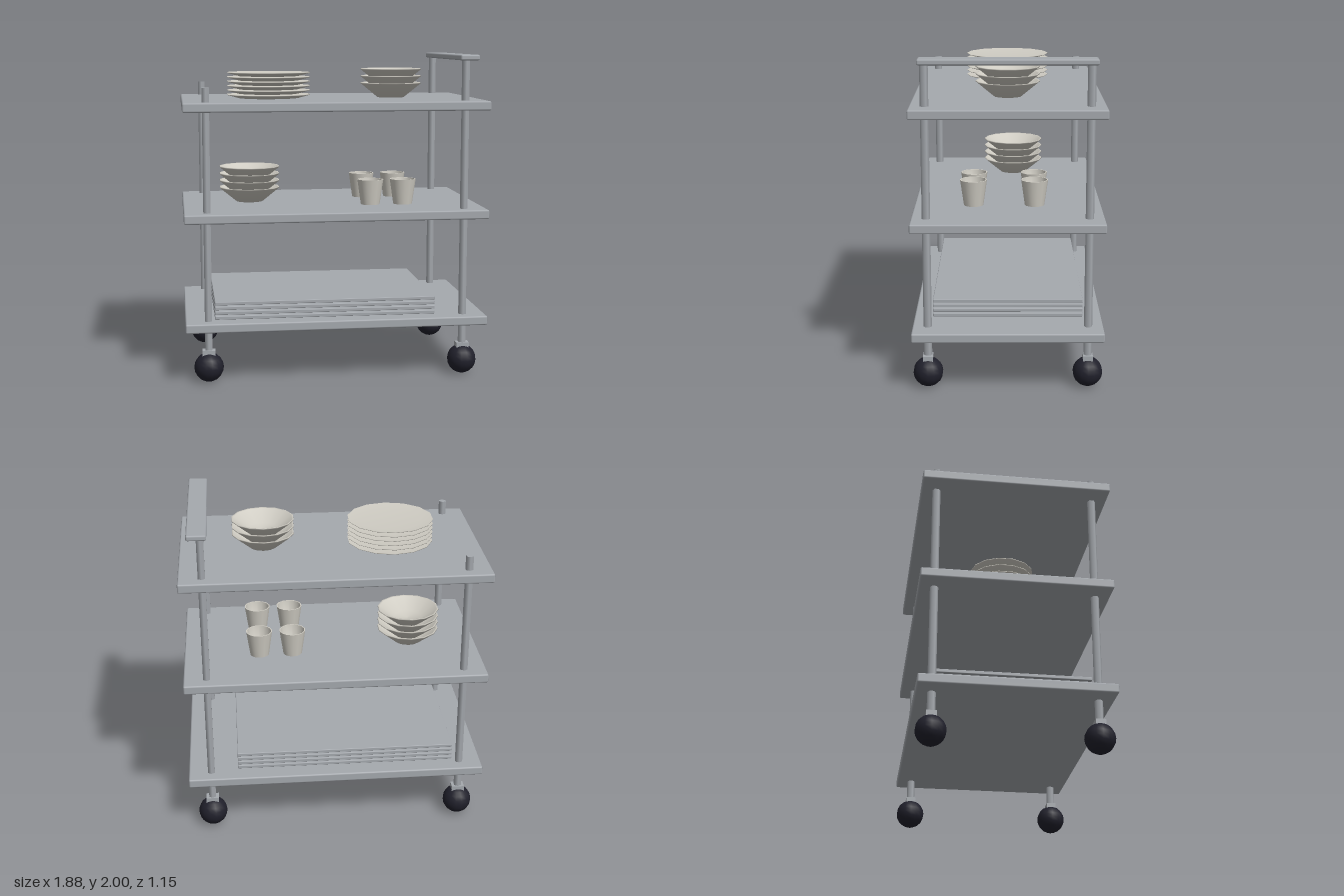
import * as THREE from 'three';
import { RoundedBoxGeometry } from 'three/addons/geometries/RoundedBoxGeometry.js';

const material = (name, color, side = THREE.FrontSide) => {
  const m = new THREE.MeshStandardMaterial({ color, side });
  m.name = name;
  return m;
};

export function createModel() {
  const cart = new THREE.Group();
  cart.name = 'servingCart';
  const metal = material('brushedMetal', 0xa5a9ae);
  const ceramic = material('ceramic', 0xcfccc3, THREE.DoubleSide);
  const rubber = material('rubber', 0x20202b);

  const add = (name, geometry, mat, x, y, z) => {
    const mesh = new THREE.Mesh(geometry, mat);
    mesh.name = name;
    mesh.position.set(x, y, z);
    cart.add(mesh);
    return mesh;
  };
  const lathe = (points, sides) =>
    new THREE.LatheGeometry(points.map(([r, y]) => new THREE.Vector2(r, y)), sides);

  // Three shelves with softened edges
  const shelf = new RoundedBoxGeometry(1.875, 0.057, 1.15, 1, 0.01);
  for (const y of [0.352, 1.022, 1.692]) add('shelf', shelf, metal, 0, y, 0);

  // Posts, taller on the handle side, each on a bracket and ball caster
  const wheel = new THREE.SphereGeometry(0.091, 14, 10);
  const bracket = new THREE.BoxGeometry(0.08, 0.05, 0.06);
  for (const x of [-0.797, 0.795]) {
    for (const z of [-0.483, 0.483]) {
      const top = x > 0 ? 1.97 : 1.808;
      const post = new THREE.CylinderGeometry(0.025, 0.025, top - 0.17, 6);
      add('post', post, metal, x, (top + 0.17) / 2, z);
      add('casterBracket', bracket, metal, x, 0.175, z);
      add('caster', wheel, rubber, x, 0.092, z);
    }
  }

  // Push handle
  add('handle', new RoundedBoxGeometry(0.12, 0.034, 1.04, 1, 0.01), metal, 0.815, 1.983, 0);

  // Flat trays on the bottom shelf
  const tray = new RoundedBoxGeometry(1.38, 0.021, 0.92, 1, 0.004);
  for (let i = 0; i < 4; i++) add('tray', tray, metal, -0.065, 0.391 + i * 0.03, 0);

  // Stack of plates
  const plate = lathe([[0, 0], [0.19, 0], [0.268, 0.021], [0.268, 0.025], [0.19, 0.012], [0, 0.012]], 14);
  for (let i = 0; i < 6; i++) add('plate', plate, ceramic, -0.38, 1.72 + i * 0.028, 0);

  // Stacks of bowls
  const bowl = lathe([[0, 0], [0.085, 0], [0.196, 0.09], [0.194, 0.096], [0.183, 0.094], [0.09, 0.03], [0, 0.022]], 14);
  const stackBowls = (count, x, y, z) => {
    for (let i = 0; i < count; i++) add('bowl', bowl, ceramic, x, y + i * 0.045, z);
  };
  stackBowls(3, 0.415, 1.72, 0);
  stackBowls(4, -0.505, 1.05, -0.04);

  // Four tumblers
  const cup = lathe([[0, 0], [0.06, 0], [0.06, 0], [0.083, 0.16], [0.083, 0.16], [0.076, 0.16], [0.076, 0.16], [0.054, 0.012], [0, 0.012]], 14);
  for (const x of [0.25, 0.46]) {
    for (const z of [-0.165, 0.21]) add('cup', cup, ceramic, x, 1.05, z);
  }
  return cart;
}
